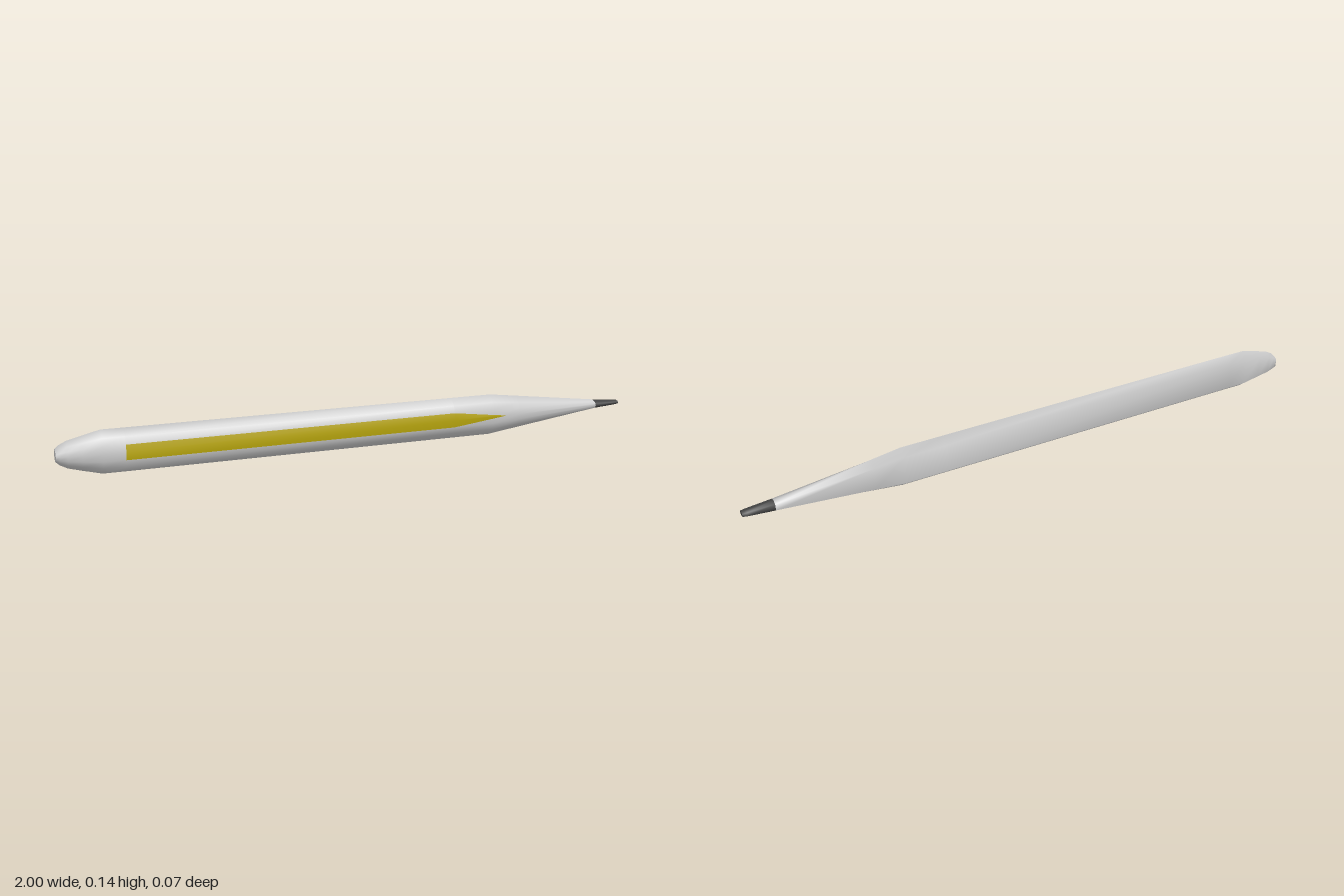
import * as THREE from 'three';

const MID = 0.071; // height of the centre line and half the body height

// Cross-section seen from the tip end: [height -1..1, depth 0 = flat back .. 1 = front ridge]
const SECTION = [
  [1, 0.41], [0.68, 0.81], [0.35, 0.94], [0, 1], [-0.35, 0.94],
  [-0.68, 0.81], [-1, 0.41], [-0.68, 0], [0.68, 0],
];

// Stations along the length: [x, half height, back z, front z]
const BODY = [
  [-1, 0.021, -0.033, 0.014], [-0.988, 0.032, -0.033, 0.017], [-0.965, 0.044, -0.033, 0.021],
  [-0.92, 0.056, -0.033, 0.027], [-0.86, 0.071, -0.033, 0.031], [-0.79, 0.071, -0.033, 0.033],
  [0.33, 0.071, -0.033, 0.033], [0.48, 0.071, -0.033, 0.033], [0.58, 0.058, -0.033, 0.029],
  [0.9, 0.0165, -0.029, 0.013],
];
const TIP = [[0.9, 0.0165, -0.029, 0.013], [0.985, 0.0095, -0.024, 0.007], [1, 0.007, -0.022, 0.005]];

const place = ([x, h, back, front], [v, d]) => [x, MID + v * h, back + d * (front - back)];

function buildGeometry(positions, index) {
  const g = new THREE.BufferGeometry();
  g.setAttribute('position', new THREE.Float32BufferAttribute(positions, 3));
  g.setIndex(index);
  g.computeVertexNormals();
  return g;
}

// Skin the section through the stations and close both ends
function loft(stations) {
  const n = SECTION.length, pos = [], index = [];
  for (const s of stations) for (const p of SECTION) pos.push(...place(s, p));
  for (let i = 0; i < stations.length - 1; i++) {
    for (let j = 0; j < n; j++) {
      const a = i * n + j, b = i * n + (j + 1) % n;
      index.push(a, b, a + n, b, b + n, a + n);
    }
  }
  for (const [s, flip] of [[stations[0], true], [stations.at(-1), false]]) {
    const base = pos.length / 3;
    for (const p of SECTION) pos.push(...place(s, p));
    pos.push(...place(s, [0, 0.5]));
    for (let j = 0; j < n; j++) {
      const a = base + j, b = base + (j + 1) % n;
      index.push(base + n, flip ? b : a, flip ? a : b);
    }
  }
  return buildGeometry(pos, index);
}

// Thin inlay following the front ridge and narrowing to a point
function stripGeometry() {
  const lift = 0.0012, pos = [], index = [];
  for (const [x, half, edgeZ, ridgeZ] of [
    [-0.79, 0.025, 0.0291, 0.033], [0.33, 0.025, 0.0291, 0.033],
    [0.48, 0.006, 0.0321, 0.033], [0.525, 0.0005, 0.0315, 0.0315],
  ]) {
    pos.push(x, MID + half, edgeZ + lift, x, MID, ridgeZ + lift, x, MID - half, edgeZ + lift);
  }
  for (let i = 0; i < 3; i++) {
    for (let j = 0; j < 2; j++) {
      const a = i * 3 + j;
      index.push(a, a + 1, a + 3, a + 1, a + 4, a + 3);
    }
  }
  return buildGeometry(pos, index);
}

export function createModel() {
  const group = new THREE.Group();
  group.name = 'stylus';
  const add = (name, geometry, color, side = THREE.FrontSide) => {
    const mesh = new THREE.Mesh(geometry, new THREE.MeshStandardMaterial({ color, side }));
    mesh.name = name;
    group.add(mesh);
  };
  add('body', loft(BODY), 0xcccccc);
  add('tip', loft(TIP), 0x444444);
  add('frontStrip', stripGeometry(), 0xb8a60c, THREE.DoubleSide);
  return group;
}
